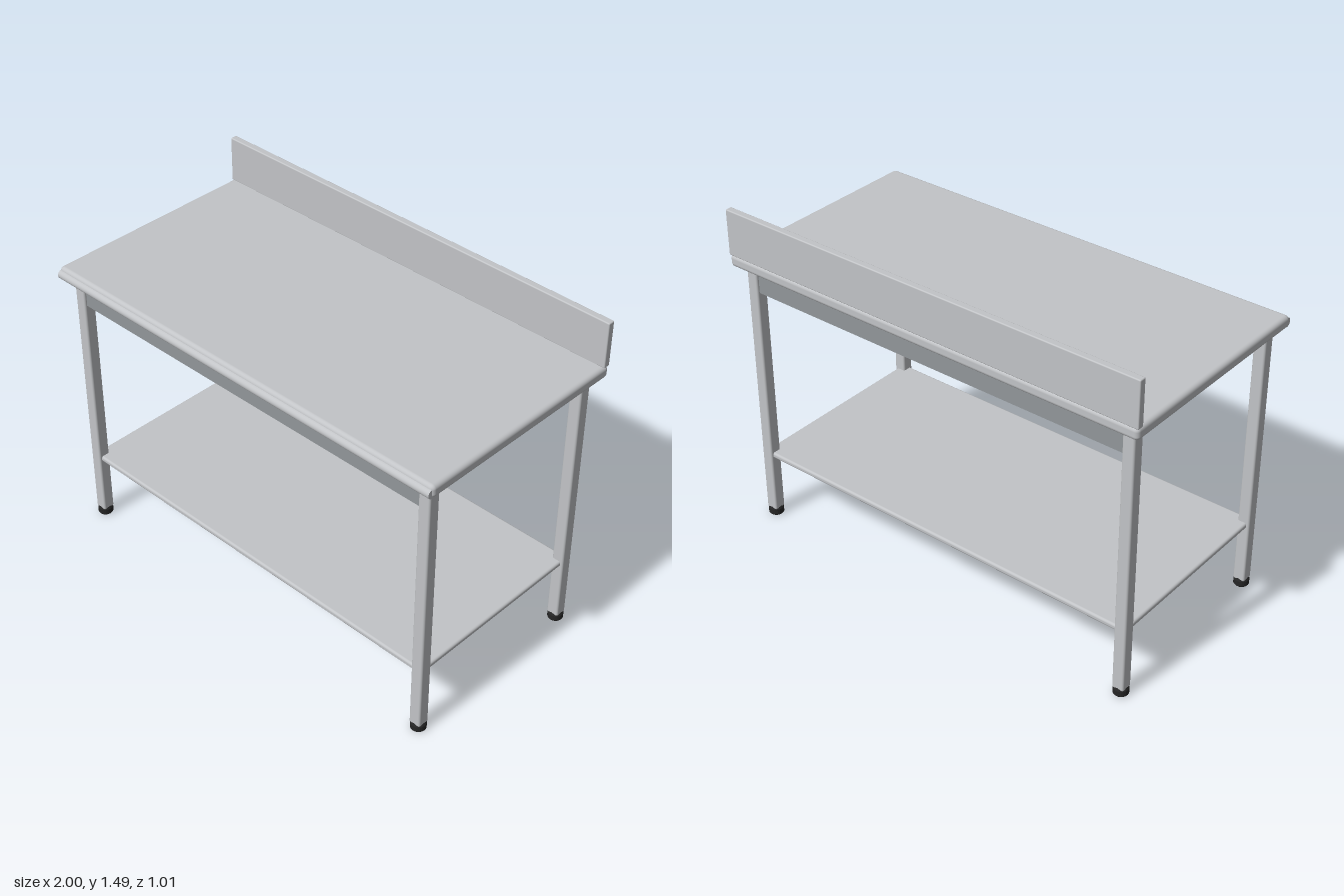
import * as THREE from 'three';
import { RoundedBoxGeometry } from 'three/addons/geometries/RoundedBoxGeometry.js';

export function createModel() {
  const model = new THREE.Group();
  model.name = 'workTable';

  const material = (name, color) => {
    const m = new THREE.MeshStandardMaterial({ color });
    m.name = name;
    return m;
  };
  const steel = material('brushed steel', 0xc2c4c7);
  const darkSteel = material('dark steel', 0x92979a);
  const rubber = material('black rubber', 0x262626);

  const add = (name, geometry, mat, x, y, z) => {
    const mesh = new THREE.Mesh(geometry, mat);
    mesh.name = name;
    mesh.position.set(x, y, z);
    model.add(mesh);
    return mesh;
  };
  const rounded = (w, h, d, r) => new RoundedBoxGeometry(w, h, d, 3, r);

  // Worktop with a rolled front edge
  add('worktop', rounded(2, 0.055, 0.995, 0.018), steel, 0, 1.2625, -0.0075);
  const roll = add('frontRoll', new THREE.CylinderGeometry(0.02, 0.02, 1.985, 20), steel, 0, 1.256, 0.485);
  roll.rotation.z = Math.PI / 2;

  // Upstand along the back edge
  add('backsplash', rounded(2, 0.203, 0.031, 0.005), steel, 0, 1.3885, -0.4895);

  // Lower shelf, its corners running into the legs
  add('shelf', rounded(1.89, 0.026, 0.89, 0.01), steel, 0, 0.318, -0.004);

  // Foot profile: straight wall with a bevelled shoulder
  const footProfile = [[0, 0], [0.029, 0], [0.033, 0.005], [0.033, 0.029], [0.026, 0.042], [0, 0.042]]
    .map(([r, y]) => new THREE.Vector2(r, y));

  for (const [end, z] of [['front', 0.425], ['back', -0.432]]) {
    // Apron under the worktop
    add(end + 'Apron', new THREE.BoxGeometry(1.82, 0.12, 0.02), darkSteel, 0, 1.18, z + Math.sign(z) * 0.006);

    for (const [side, x] of [['Left', 0.93], ['Right', -0.93]]) {
      add(end + side + 'Leg', rounded(0.054, 1.215, 0.054, 0.009), steel, x, 0.6375, z);
      const foot = new THREE.LatheGeometry(footProfile, 20).toNonIndexed();
      foot.computeVertexNormals();
      add(end + side + 'Foot', foot, rubber, x, 0, z);
    }
  }
  return model;
}
